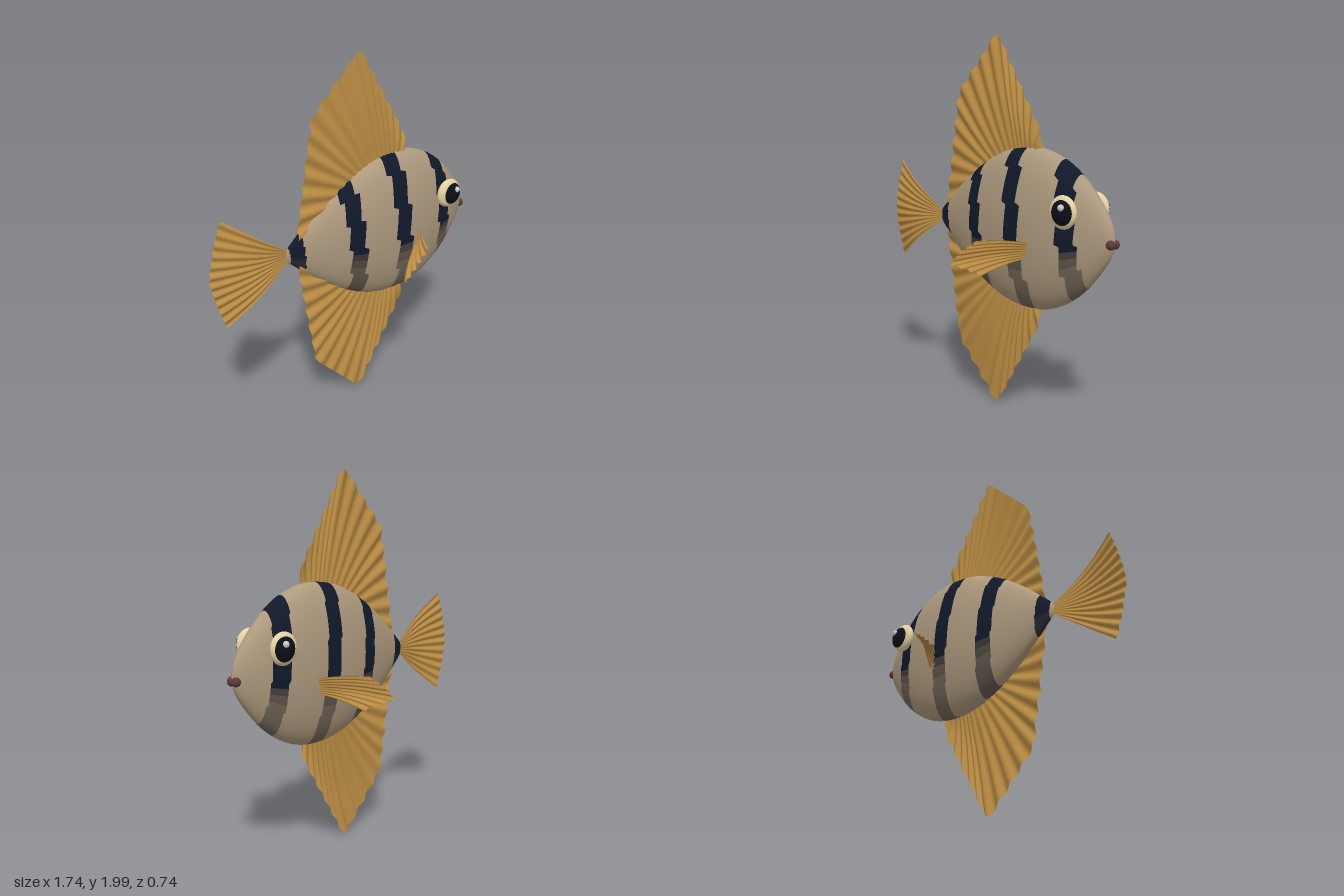
import * as THREE from 'three';

const mat = (color, side = THREE.FrontSide) => new THREE.MeshStandardMaterial({ color, side });
const TAN = 0xae9a7e, NAVY = 0x10192b;
const skinMat = mat(TAN);
const finMat = mat(0xbf9045, THREE.DoubleSide);
const AROUND = 160;      // steps around the body
const FLAT = 0.32;       // body width relative to its height

// Side profile of the body: x, half height
const profile = new THREE.SplineCurve([
  [-0.42, 0], [-0.41, 0.035], [-0.35, 0.09], [-0.2, 0.215], [-0.05, 0.315], [0.1, 0.385],
  [0.2, 0.411], [0.3, 0.421], [0.4, 0.415], [0.5, 0.387], [0.6, 0.335], [0.7, 0.255],
  [0.8, 0.14], [0.845, 0.065], [0.86, 0],
].map(([x, r]) => new THREE.Vector2(x, r))).getPoints(700);

function radius(x) {
  if (x <= -0.42 || x >= 0.86) return 0;
  const i = profile.findIndex((p) => p.x > x);
  const a = profile[i - 1], b = profile[i];
  return a.y + (b.y - a.y) * (x - a.x) / (b.x - a.x);
}

// Slanted, toothed stripe edge; teeth are stronger on the +z flank
function edgeX(x0, a) {
  if (x0 === -0.42 || x0 === 0.86) return x0;
  const s = Math.sin(a) * 2.2 + 10.3;
  const tooth = (s - Math.floor(s) - 0.5) * (Math.cos(a) > 0 ? 0.035 : 0.012);
  return x0 + (tooth - 0.045 * Math.sin(a)) * Math.min(1, radius(x0) / 0.4);
}

// Piece of body skin between two stripe edges and two angle steps
function skinPanel(name, x0, x1, j0, j1, material) {
  const pos = [], nor = [], idx = [], n = 24, row = j1 - j0 + 1;
  for (let i = 0; i <= n; i++) {
    let t = i / n;
    if (x1 === 0.86) t = Math.sin(t * Math.PI / 2);
    if (x0 === -0.42) t = t * t;
    for (let j = j0; j <= j1; j++) {
      const a = 2 * Math.PI * j / AROUND;
      const x = THREE.MathUtils.lerp(edgeX(x0, a), edgeX(x1, a), t);
      const r = radius(x), s = Math.sin(a), c = Math.cos(a), e = 0.006;
      const slope = (radius(x + e) - radius(x - e)) / (2 * e);
      const tip = x < -0.4199 ? -1 : x > 0.8599 ? 1 : 0;
      const v = tip ? new THREE.Vector3(tip, 0, 0) : new THREE.Vector3(-slope, s, c / FLAT).normalize();
      pos.push(x, 1 + r * s, r * c * FLAT);
      nor.push(v.x, v.y, v.z);
      if (i < n && j < j1) {
        const k = i * row + j - j0;
        idx.push(k, k + row, k + row + 1, k, k + row + 1, k + 1);
      }
    }
  }
  const g = new THREE.BufferGeometry();
  g.setAttribute('position', new THREE.Float32BufferAttribute(pos, 3));
  g.setAttribute('normal', new THREE.Float32BufferAttribute(nor, 3));
  g.setIndex(idx);
  const m = new THREE.Mesh(g, material);
  m.name = name;
  return m;
}

function makeBody() {
  const body = new THREE.Group();
  body.name = 'body';
  const stripes = [[-0.4, -0.32, 0.1], [-0.065, 0.03, 0.7], [0.245, 0.345, 1], [0.58, 0.68, 1]];
  // Angle ranges and how far the stripe fades there
  const sections = [[-6, 86, 0], [-9, -6, 0.13], [86, 89, 0.13], [-13, -9, 0.27], [89, 93, 0.27], [93, 147, 0.4]];
  let x = -0.42;
  for (const [x0, x1, fade] of stripes) {
    body.add(skinPanel('skin', x, x0, 0, AROUND, skinMat));
    for (const [j0, j1, k] of sections) {
      const color = new THREE.Color(NAVY).lerp(new THREE.Color(TAN), k * fade);
      body.add(skinPanel('stripe', x0, x1, j0, j1, mat(color)));
    }
    x = x1;
  }
  body.add(skinPanel('skin', x, 0.86, 0, AROUND, skinMat));
  return body;
}

function polyline(points) {
  const path = new THREE.CurvePath();
  const v = points.map((p) => new THREE.Vector3(...p));
  for (let i = 1; i < v.length; i++) path.add(new THREE.LineCurve3(v[i - 1], v[i]));
  return path;
}

// Pleated fan from a root line to an outer edge; bend(v) shifts it along axis
function fan(name, root, edge, axis, pleats, depth, bend) {
  const nu = pleats * 8, nv = 14;
  const g = new THREE.PlaneGeometry(1, 1, nu, nv);
  const p = g.attributes.position, rootPath = polyline(root), edgePath = polyline(edge);
  const dir = new THREE.Vector3(...axis).normalize();
  for (let j = 0; j <= nv; j++) {
    for (let i = 0; i <= nu; i++) {
      const u = i / nu, v = j / nv;
      const q = rootPath.getPointAt(u).lerp(edgePath.getPointAt(u), v);
      q.addScaledVector(dir, bend(v) + depth * v * Math.sin(2 * Math.PI * pleats * u));
      p.setXYZ(j * (nu + 1) + i, q.x, q.y, q.z);
    }
  }
  g.computeVertexNormals();
  const m = new THREE.Mesh(g, finMat);
  m.name = name;
  return m;
}

function ball(name, r, squash, color, x, y, z) {
  const m = new THREE.Mesh(new THREE.SphereGeometry(r, 32, 20), mat(color));
  m.name = name;
  m.scale.z = squash;
  m.position.set(x, y, z);
  return m;
}

export function createModel() {
  const fish = new THREE.Group();
  fish.name = 'fish';
  fish.add(makeBody());

  // Tall fins above and below
  for (const s of [1, -1]) {
    const flip = ([x, y]) => [x, 1 + s * y, 0];
    fish.add(fan(s > 0 ? 'dorsalFin' : 'analFin',
      [[0.0, 0.22], [0.36, 0.36]].map(flip),
      [[-0.35, 0.06], [-0.345, 0.14], [-0.25, 0.69], [-0.23, 0.72], [0.045, 0.995], [0.065, 0.995],
        [0.085, 0.975], [0.375, 0.51], [0.4, 0.4]].map(flip),
      [0, 0, 1], 16, 0.009, (v) => 0.012 + 0.012 * Math.sin(Math.PI * v)));
  }

  // Tail
  fish.add(fan('tailFin', [[-0.4, 1.02, 0], [-0.4, 0.98, 0]],
    [[-0.79, 1.3, 0], [-0.835, 1.17, 0], [-0.865, 1.04, 0], [-0.868, 0.98, 0], [-0.835, 0.84, 0], [-0.79, 0.71, 0]],
    [0, 0, 1], 11, 0.006, (v) => 0.03 * Math.sin(Math.PI * v)));

  // Paired side fins and eyes
  for (const s of [1, -1]) {
    const side = s > 0 ? 'right' : 'left';
    const flip = ([x, y, z]) => [x, y, s * z];
    fish.add(fan(side + 'PectoralFin',
      [[0.42, 0.95, 0.125], [0.39, 0.865, 0.125]].map(flip),
      [[0.27, 0.965, 0.345], [0.17, 0.9, 0.365], [0.09, 0.825, 0.36], [0.21, 0.77, 0.25]].map(flip),
      [-0.5, 0.6, -0.6 * s], 8, 0.008, (v) => 0.012 * Math.sin(Math.PI * v)));

    const eye = new THREE.Group();
    eye.name = side + 'Eye';
    eye.add(
      ball('eyeball', 0.083, 0.42, 0xe6d3a3, 0.638, 1.125, s * 0.12),
      ball('pupil', 0.064, 0.55, 0x0b0f18, 0.646, 1.125, s * 0.134),
      ball('glint', 0.017, 1, 0xd8d8d8, 0.662, 1.152, s * 0.162));
    fish.add(eye);
  }

  // Mouth of two small lobes
  const mouth = new THREE.Group();
  mouth.name = 'mouth';
  for (const s of [1, -1]) mouth.add(ball('lip', 0.024, 0.9, 0x5c3b38, 0.846, 0.98, s * 0.016));
  fish.add(mouth);
  return fish;
}
